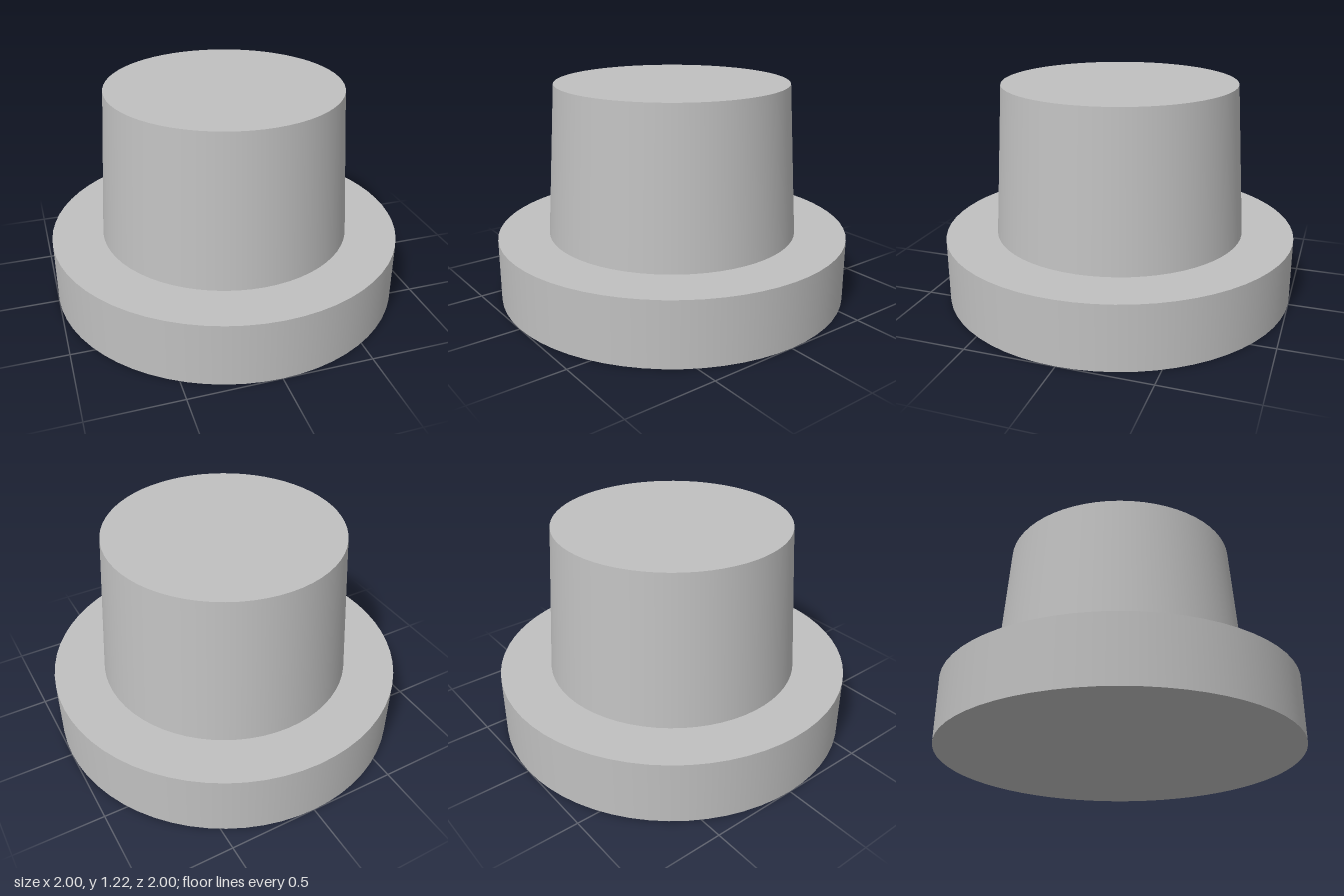
import * as THREE from 'three';

const SIDES = 64;
const BASE_HEIGHT = 0.36;
const TOTAL_HEIGHT = 1.215;

export function createModel() {
  const model = new THREE.Group();
  model.name = 'flangedPlug';

  const grey = new THREE.MeshStandardMaterial({ color: 0xc0c0c0 });
  grey.name = 'light grey';

  // Adds a round section standing between two heights
  const addSection = (name, topRadius, bottomRadius, from, to, openEnded) => {
    const geometry = new THREE.CylinderGeometry(topRadius, bottomRadius, to - from, SIDES, 1, openEnded);
    const mesh = new THREE.Mesh(geometry, grey);
    mesh.name = name;
    mesh.position.y = (from + to) / 2;
    model.add(mesh);
  };

  // Wide flat flange
  addSection('baseFlange', 1, 1, 0, BASE_HEIGHT, false);

  // Tapered body: open wall, closed by a flat cap
  addSection('taperedBody', 0.655, 0.711, BASE_HEIGHT, TOTAL_HEIGHT, true);
  const cap = new THREE.Mesh(new THREE.CircleGeometry(0.655, SIDES), grey);
  cap.name = 'topCap';
  cap.rotation.x = -Math.PI / 2;
  cap.position.y = TOTAL_HEIGHT;
  model.add(cap);

  return model;
}
